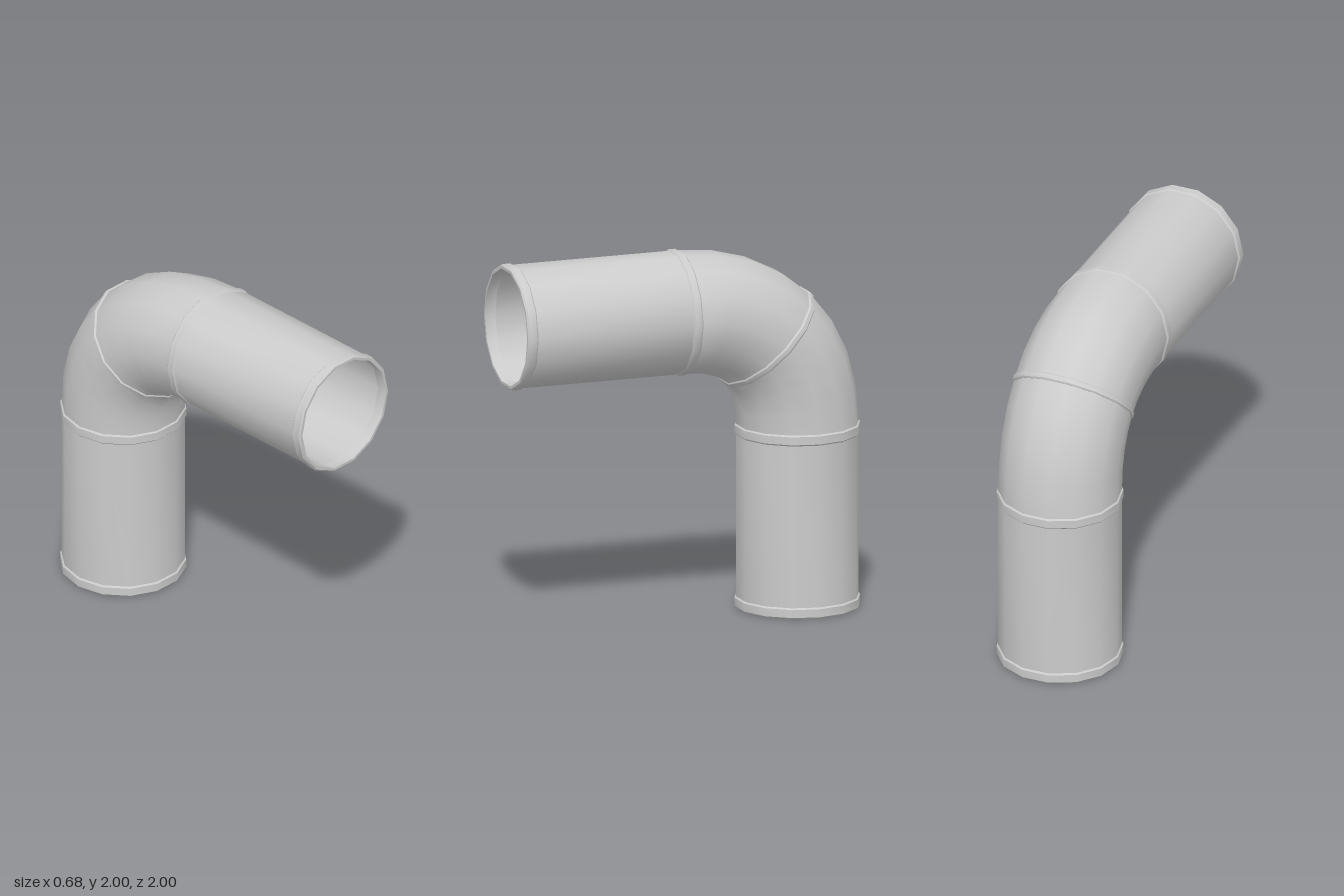
import * as THREE from 'three';
import { toCreasedNormals } from 'three/addons/utils/BufferGeometryUtils.js';

const SIDES = 14;
const BEND = 0.669;               // distance from bend corner to pipe axis
const OUTER = 0.332, INNER = 0.322; // pipe wall
const material = new THREE.MeshStandardMaterial({ color: 0xcccccc, side: THREE.DoubleSide });

// Centre line of the elbow, from the upright pipe to the horizontal one
const K = 0.62 * BEND;
const bend = new THREE.CubicBezierCurve3(
  new THREE.Vector3(0, 1, -BEND),
  new THREE.Vector3(0, 1 + K, -BEND),
  new THREE.Vector3(0, 1 + BEND, -K),
  new THREE.Vector3(0, 1 + BEND, 0)
);

// Revolves a closed [radius, height] profile, with corners on the x axis
function revolve(profile) {
  const points = [...profile, profile[0]].map(([r, y]) => new THREE.Vector2(r, y));
  return new THREE.LatheGeometry(points, SIDES).rotateY(Math.PI / 2);
}

// Hollow tube from y0 to y1, cut into steps
function tube(y0, y1, steps) {
  const heights = Array.from({ length: steps + 1 }, (_, i) => y0 + ((y1 - y0) * i) / steps);
  return revolve([
    ...heights.map((y) => [OUTER, y]),
    ...heights.slice().reverse().map((y) => [INNER, y]),
  ]);
}

// Bevelled ring around the wall
function collar(y0, y1) {
  const out = 0.34, inn = 0.317, b = 0.008;
  return revolve([
    [inn, y0], [out - b, y0], [out, y0 + b], [out, y1 - b], [out - b, y1], [inn, y1],
  ]);
}

// Moves a unit-high tube onto the bend curve
function bendAlong(geometry) {
  const pos = geometry.attributes.position;
  for (let i = 0; i < pos.count; i++) {
    const t = THREE.MathUtils.clamp(pos.getY(i), 0, 1);
    const c = bend.getPoint(t), d = bend.getTangent(t), z = pos.getZ(i);
    pos.setXYZ(i, pos.getX(i), c.y - d.z * z, c.z + d.y * z);
  }
  return geometry;
}

export function createModel() {
  const group = new THREE.Group();

  function add(name, geometry, y = 0, z = 0, tilt = 0) {
    const mesh = new THREE.Mesh(toCreasedNormals(geometry, 0.7), material);
    mesh.name = name;
    mesh.position.set(0, y, z);
    mesh.rotation.x = tilt;
    group.add(mesh);
  }

  // Upright pipe with its collars
  add('uprightPipe', tube(0.005, 1, 1), 0, -BEND);
  add('bottomCollar', collar(0, 0.06), 0, -BEND);
  add('lowerElbowCollar', collar(0.95, 1.01), 0, -BEND);

  // Elbow with a thin collar halfway round
  add('elbow', bendAlong(tube(0, 1, 8)));
  const mid = bend.getPoint(0.5);
  add('middleElbowCollar', collar(-0.02, 0.02), mid.y, mid.z, Math.PI / 4);

  // Horizontal pipe with its collars
  const top = 1 + BEND;
  add('horizontalPipe', tube(0, 0.995, 1), top, 0, Math.PI / 2);
  add('upperElbowCollar', collar(-0.005, 0.047), top, 0, Math.PI / 2);
  add('frontCollar', collar(0.94, 1), top, 0, Math.PI / 2);

  return group;
}
